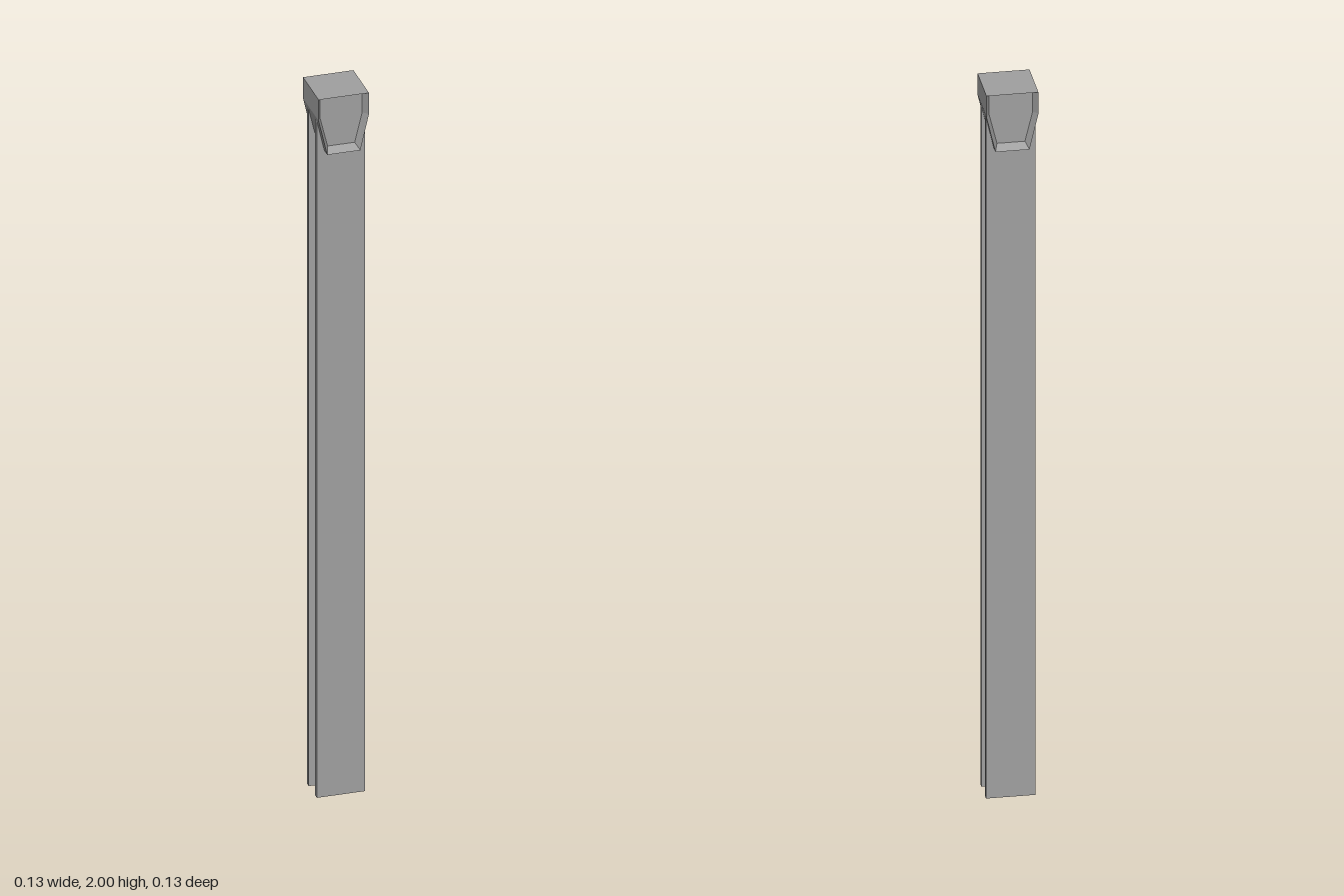
import * as THREE from 'three';

const grey = new THREE.MeshStandardMaterial({ color: 0xa0a0a0 });
grey.name = 'plain grey';

// I-section beam: flanges face front and back, channels face the sides
function beamGeometry(height) {
  const w = 0.064, d = 0.042, tip = 0.028, root = 0.023, web = 0.012;
  const half = [[-w, -d], [w, -d], [w, -tip], [web, -root]];
  const pts = [
    ...half,
    [web, root], [w, tip], [w, d],
    [-w, d], [-w, tip], [-web, root], [-web, -root], [-w, -tip],
  ].map(([x, y]) => new THREE.Vector2(x, y));
  const geo = new THREE.ExtrudeGeometry(new THREE.Shape(pts), { depth: height, bevelEnabled: false });
  geo.rotateX(-Math.PI / 2);
  return geo;
}

// Sweep of matching outlines [points, z], closed at both ends, flat faces
function loftGeometry(rings) {
  const verts = [];
  const at = (k, i) => {
    const [pts, z] = rings[k];
    const p = pts[i % pts.length];
    return [p[0], p[1], z];
  };
  const tri = (a, b, c) => verts.push(...a, ...b, ...c);
  const n = rings[0][0].length, last = rings.length - 1;
  for (let k = 0; k < last; k++) {
    for (let i = 0; i < n; i++) {
      tri(at(k, i), at(k, i + 1), at(k + 1, i + 1));
      tri(at(k, i), at(k + 1, i + 1), at(k + 1, i));
    }
  }
  for (let i = 1; i < n - 1; i++) {
    tri(at(0, 0), at(0, i + 1), at(0, i));
    tri(at(last, 0), at(last, i), at(last, i + 1));
  }
  const geo = new THREE.BufferGeometry();
  geo.setAttribute('position', new THREE.Float32BufferAttribute(verts, 3));
  geo.computeVertexNormals();
  return geo;
}

// Symmetric outline: straight shoulders above a tapered lower half
const outline = (top, shoulder, bottom, wide, narrow) => [
  [wide, top], [-wide, top], [-wide, shoulder],
  [-narrow, bottom], [narrow, bottom], [wide, shoulder],
];

export function createModel() {
  const group = new THREE.Group();
  group.name = 'column';

  const beam = new THREE.Mesh(beamGeometry(1.96), grey);
  beam.name = 'beam';
  group.add(beam);

  // Capital with a bevelled recess in its front and back
  const rim = outline(2, 1.94, 1.84, 0.067, 0.044);
  const panel = outline(1.99, 1.935, 1.853, 0.056, 0.036);
  const capital = new THREE.Mesh(
    loftGeometry([[panel, -0.044], [rim, -0.067], [rim, 0.067], [panel, 0.044]]), grey);
  capital.name = 'capital';
  group.add(capital);

  return group;
}
